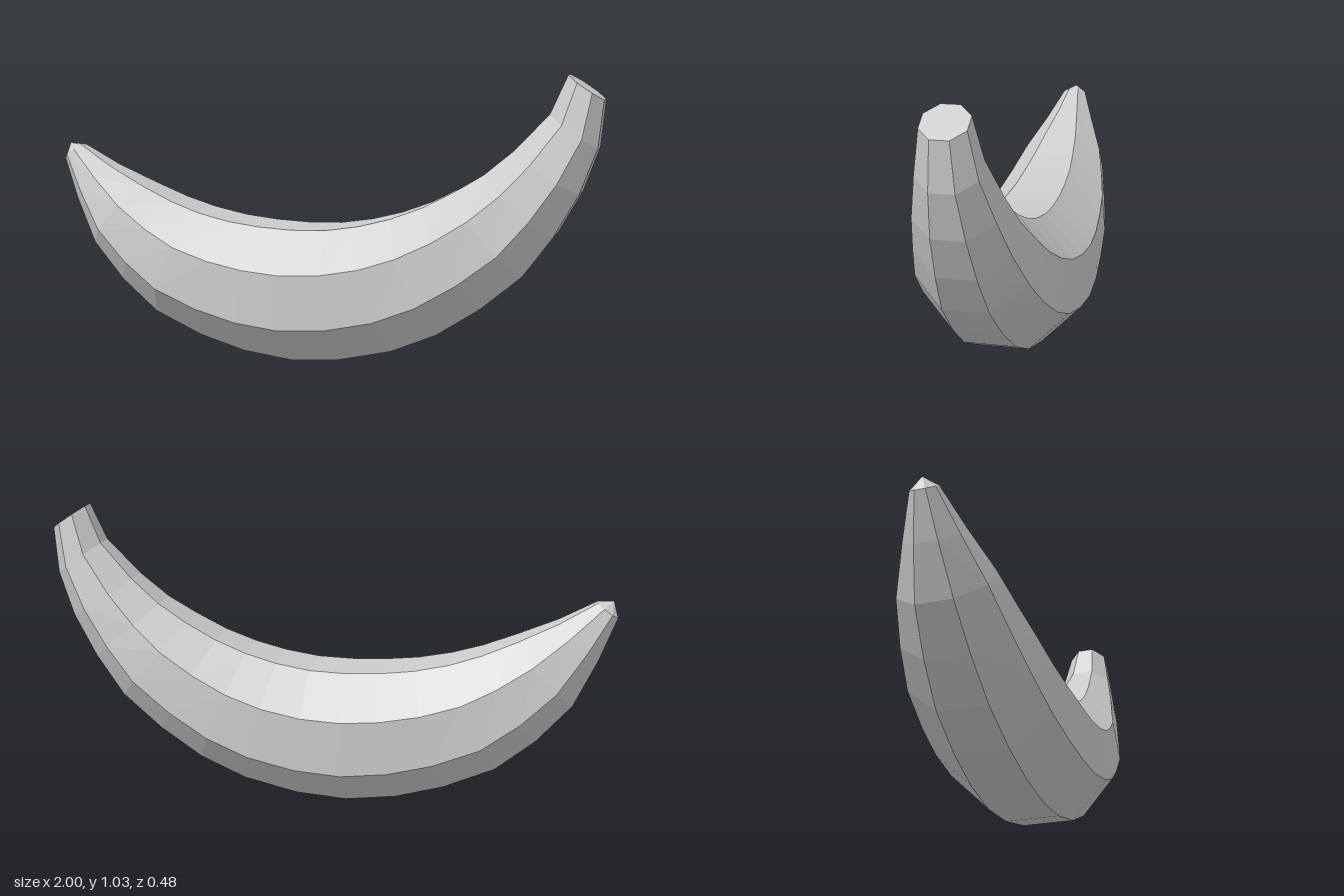
import * as THREE from 'three';

// Each station: outer (belly) x, y and inner x, y of one octagonal ring, tip to stem
const STATIONS = [
  [-1, 0.69, -0.93, 0.74], [-0.94, 0.54, -0.8, 0.665], [-0.86, 0.38, -0.66, 0.6],
  [-0.74, 0.25, -0.54, 0.55], [-0.6, 0.14, -0.43, 0.515], [-0.42, 0.065, -0.31, 0.49],
  [-0.25, 0.02, -0.19, 0.477], [-0.07, 0, -0.07, 0.472], [0.11, 0.015, 0.06, 0.477],
  [0.3, 0.06, 0.18, 0.497], [0.46, 0.13, 0.29, 0.527], [0.61, 0.23, 0.4, 0.57],
  [0.75, 0.35, 0.51, 0.628], [0.85, 0.49, 0.61, 0.69], [0.93, 0.635, 0.71, 0.775],
  [0.985, 0.79, 0.825, 0.9], [1, 0.95, 0.88, 1.03],
];
const SIDES = 8;

// Octagon with flat faces toward the belly, the inside of the bend and both sides
function makeRing([ox, oy, ix, iy]) {
  const dx = (ox - ix) / 2, dy = (oy - iy) / 2;
  const half = Math.hypot(dx, dy);
  const corner = 1 / Math.cos(Math.PI / SIDES);
  return Array.from({ length: SIDES }, (_, k) => {
    const a = ((k + 0.5) / SIDES) * Math.PI * 2;
    const c = Math.cos(a) * corner, s = Math.sin(a) * corner;
    return new THREE.Vector3((ox + ix) / 2 + dx * c, (oy + iy) / 2 + dy * c, half * s * 1.01);
  });
}

function meshFrom(name, points, material) {
  const geometry = new THREE.BufferGeometry().setFromPoints(points);
  geometry.computeVertexNormals();
  const mesh = new THREE.Mesh(geometry, material);
  mesh.name = name;
  return mesh;
}

export function createModel() {
  const group = new THREE.Group();
  group.name = 'banana';
  const material = new THREE.MeshStandardMaterial({ color: 0xcccccc, flatShading: true });
  const rings = STATIONS.map(makeRing);
  const first = rings[0], last = rings[rings.length - 1];

  // Curved body skinned between neighbouring rings
  const peel = [];
  for (let i = 0; i < rings.length - 1; i++) {
    for (let k = 0; k < SIDES; k++) {
      const n = (k + 1) % SIDES;
      const a = rings[i][k], b = rings[i + 1][k], c = rings[i + 1][n], d = rings[i][n];
      peel.push(a, b, c, a, c, d);
    }
  }
  group.add(meshFrom('peel', peel, material));

  // Blunt pointed tip and flat cut stem
  const apex = new THREE.Vector3(-0.985, 0.745, 0);
  const stemCentre = new THREE.Vector3(0.94, 0.99, 0);
  const tip = [], stemEnd = [];
  for (let k = 0; k < SIDES; k++) {
    const n = (k + 1) % SIDES;
    tip.push(apex, first[k], first[n]);
    stemEnd.push(stemCentre, last[n], last[k]);
  }
  group.add(meshFrom('tip', tip, material));
  group.add(meshFrom('stemEnd', stemEnd, material));
  return group;
}
